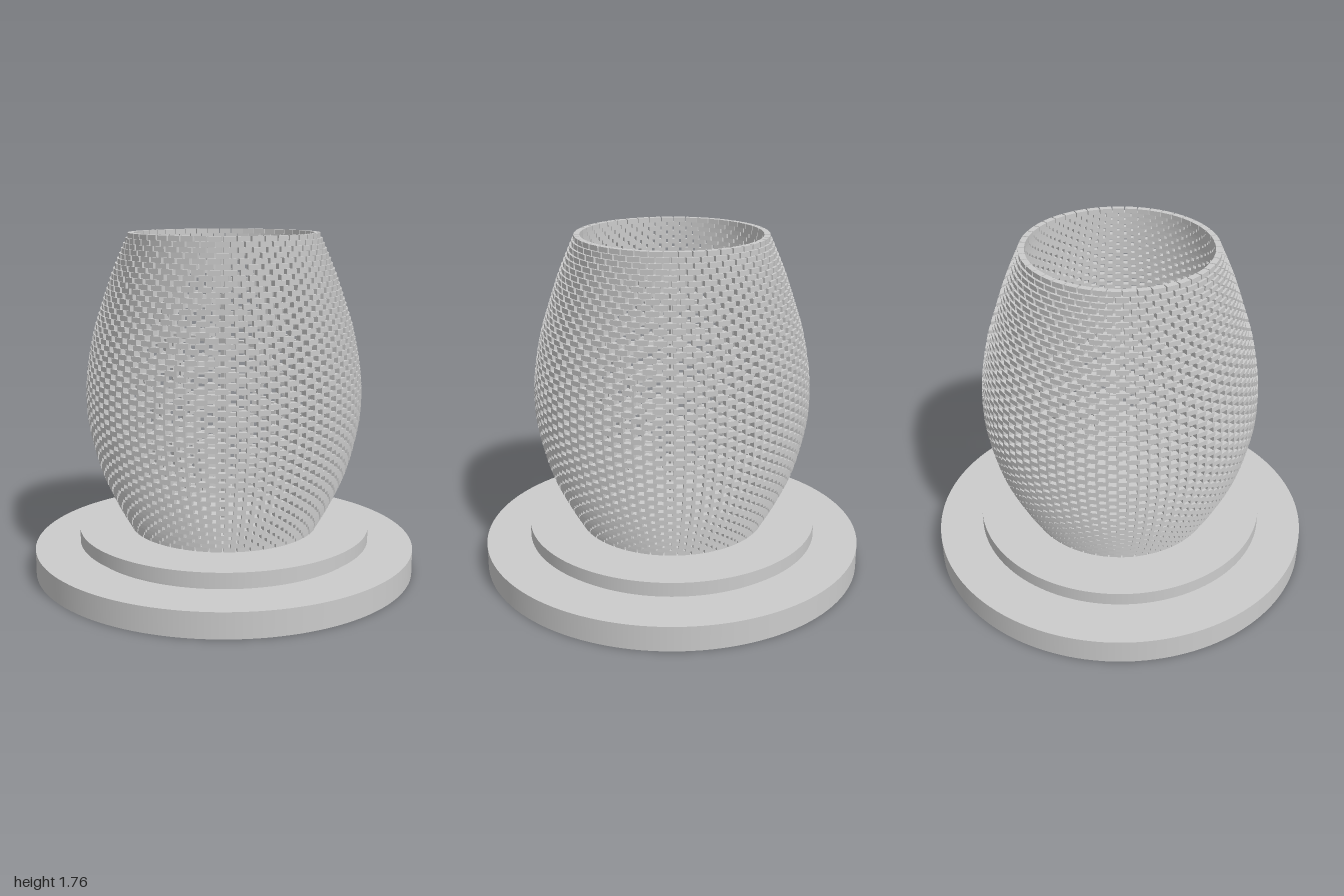
import * as THREE from 'three';
import { mergeGeometries } from 'three/addons/utils/BufferGeometryUtils.js';

const ROWS = 61, BRICKS = 45;
const WALL_BOTTOM = 0.225, WALL_TOP = 1.76;
const BRICK_WIDTH = 0.06, BRICK_DEPTH = 0.03;

// Outer radius of the wall from bottom to top, as (radius, height)
const PROFILE = [
  [0.49, 0.235], [0.565, 0.37], [0.645, 0.55], [0.698, 0.76], [0.713, 0.9],
  [0.705, 1.06], [0.67, 1.25], [0.627, 1.39], [0.565, 1.57], [0.487, 1.75],
].map(([r, y]) => new THREE.Vector2(r, y));

function radiusAt(points, y) {
  if (y <= points[0].y) return points[0].x;
  for (let i = 1; i < points.length; i++) {
    const a = points[i - 1], b = points[i];
    if (y <= b.y) return THREE.MathUtils.mapLinear(y, a.y, b.y, a.x, b.x);
  }
  return points[points.length - 1].x;
}

export function createModel() {
  const group = new THREE.Group();
  const material = new THREE.MeshStandardMaterial({ color: 0xcccccc });

  const add = (name, geometry) => {
    const mesh = new THREE.Mesh(geometry, material);
    mesh.name = name;
    group.add(mesh);
  };
  const disc = (name, radius, y0, y1) =>
    add(name, new THREE.CylinderGeometry(radius, radius, y1 - y0, 128).translate(0, (y0 + y1) / 2, 0));
  const bar = (name, w, y0, y1, d) =>
    add(name, new THREE.BoxGeometry(w, y1 - y0, d).translate(0, (y0 + y1) / 2, 0));

  // Stepped round base
  disc('basePlate', 1, 0, 0.13);
  disc('baseNeck', 0.73, 0.13, 0.155);
  disc('turntable', 0.765, 0.155, WALL_BOTTOM);

  // Open brick wall: every second row is turned by half a brick
  const points = new THREE.SplineCurve(PROFILE).getPoints(120);
  const rowHeight = (WALL_TOP - WALL_BOTTOM) / ROWS;
  const bricks = [];
  for (let row = 0; row < ROWS; row++) {
    const y = WALL_BOTTOM + (row + 0.5) * rowHeight;
    const radius = radiusAt(points, y) - BRICK_DEPTH / 2;
    for (let i = 0; i < BRICKS; i++) {
      const angle = ((i + (row % 2) / 2) / BRICKS) * Math.PI * 2;
      bricks.push(
        new THREE.BoxGeometry(BRICK_DEPTH, rowHeight, BRICK_WIDTH)
          .translate(radius, y, 0)
          .rotateY(angle)
      );
    }
  }
  add('brickWall', mergeGeometries(bricks));

  // Slim post with a crossbar inside the wall
  bar('innerPost', 0.024, WALL_BOTTOM, 1.45, 0.024);
  bar('innerCrossbar', 0.68, 1.19, 1.214, 0.024);

  return group;
}
